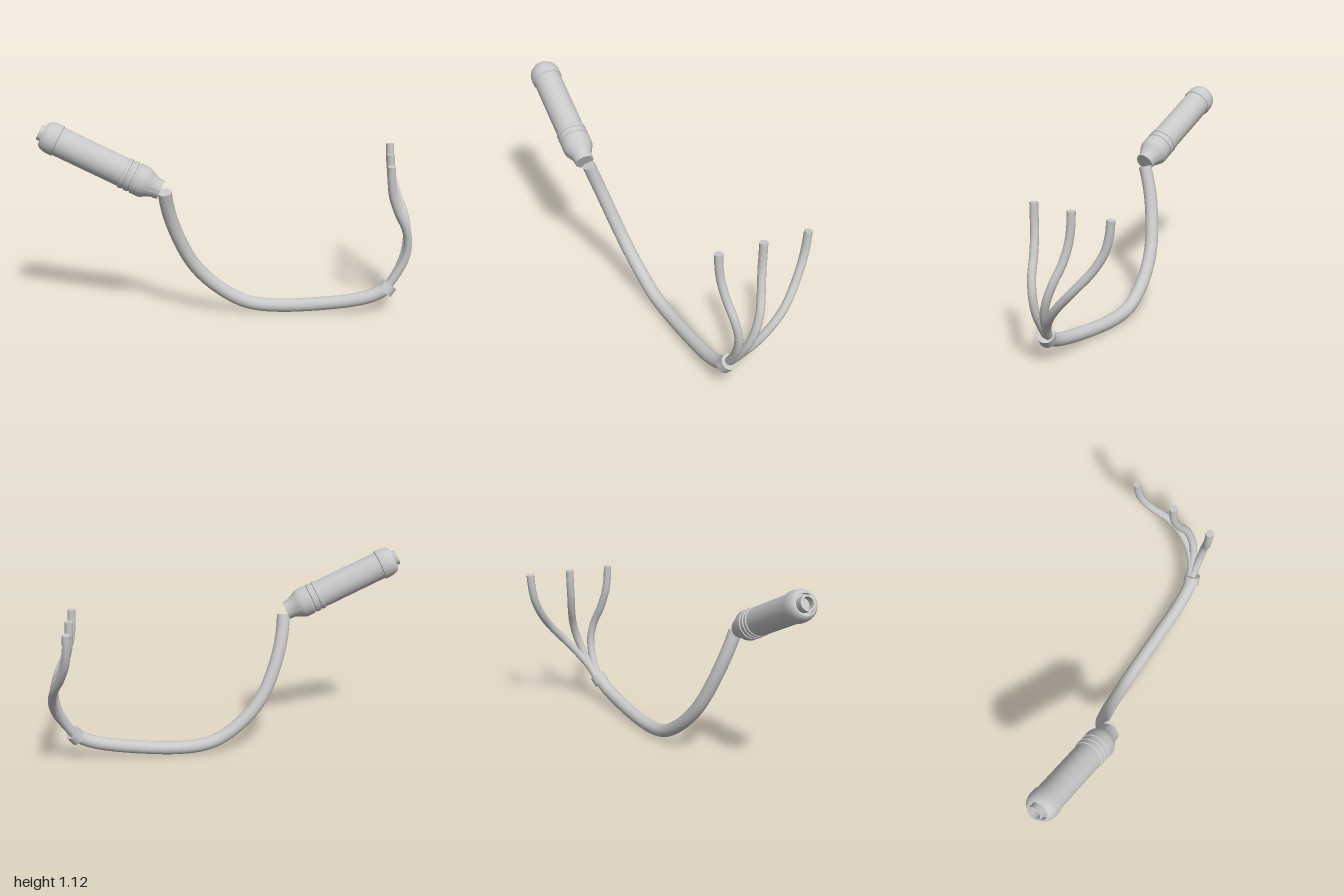
import * as THREE from 'three';
import { toCreasedNormals } from 'three/addons/utils/BufferGeometryUtils.js';

const grey = new THREE.MeshStandardMaterial({ color: 0xc8c8c8 });
grey.name = 'light grey';
const UP = new THREE.Vector3(0, 1, 0);
const FRONT = new THREE.Vector3(0, 0, 1);
const V = (p) => new THREE.Vector3(...p);

// Round cable through a list of points, closed with a disc at both ends
function cable(name, points, radius) {
  const group = new THREE.Group();
  group.name = name;
  const curve = new THREE.CatmullRomCurve3(points.map(V), false, 'centripetal');
  const tube = new THREE.Mesh(new THREE.TubeGeometry(curve, 96, radius, 24), grey);
  tube.name = name + 'Tube';
  group.add(tube);
  for (const t of [0, 1]) {
    const cap = new THREE.Mesh(new THREE.CircleGeometry(radius, 24), grey);
    cap.name = name + 'End';
    cap.position.copy(curve.getPointAt(t));
    cap.quaternion.setFromUnitVectors(FRONT, curve.getTangentAt(t).multiplyScalar(t ? 1 : -1));
    group.add(cap);
  }
  return group;
}

// Turned part whose profile of [radius, height] runs from point a towards point b
function turned(name, profile, a, b) {
  const lathe = new THREE.LatheGeometry(profile.map(([r, y]) => new THREE.Vector2(r, y)), 48);
  const mesh = new THREE.Mesh(toCreasedNormals(lathe, 0.5), grey);
  mesh.name = name;
  mesh.position.copy(V(a));
  mesh.quaternion.setFromUnitVectors(UP, V(b).sub(V(a)).normalize());
  return mesh;
}

export function createModel() {
  const model = new THREE.Group();
  model.name = 'cableWithPlug';

  // Plug: tapered rear, grip rings, long barrel, rounded cap and hollow tip
  const rear = [-0.34, 0.772, 0.328], tip = [-0.972, 1.074, 0.346];
  model.add(turned('plugBody', [
    [0, 0], [0.052, 0], [0.055, 0.035], [0.072, 0.07], [0.08, 0.085], [0.084, 0.1],
    [0.084, 0.145], [0.079, 0.148], [0.079, 0.158], [0.084, 0.161],
    [0.084, 0.18], [0.079, 0.183], [0.079, 0.193], [0.084, 0.196],
    [0.084, 0.212], [0.079, 0.216],
    [0.079, 0.59], [0.085, 0.594], [0.085, 0.62], [0.083, 0.64], [0.078, 0.658],
    [0.071, 0.671], [0.062, 0.678], [0.055, 0.678], [0.055, 0.655], [0, 0.655],
  ], rear, tip));
  model.add(turned('plugTip', [
    [0.042, 0.64], [0.042, 0.7], [0.032, 0.7], [0.032, 0.66], [0, 0.66],
  ], rear, tip));

  // Main cable from the plug down to the collar
  model.add(cable('mainCable', [
    [-0.322, 0.755, 0.31], [-0.317, 0.69, 0.288], [-0.3, 0.59, 0.254], [-0.256, 0.448, 0.21],
    [-0.2, 0.325, 0.173], [-0.13, 0.23, 0.145], [-0.03, 0.14, 0.117], [0.075, 0.078, 0.097],
    [0.17, 0.053, 0.083], [0.304, 0.046, 0.071], [0.49, 0.058, 0.06], [0.68, 0.083, 0.05],
    [0.78, 0.108, 0.04], [0.84, 0.137, 0.03], [0.868, 0.16, 0.021],
  ], 0.037));

  // Collar where the cable splits
  model.add(turned('collar', [
    [0, 0], [0.045, 0], [0.045, 0.055], [0, 0.055],
  ], [0.85, 0.13, 0.031], [0.885, 0.174, 0.015]));

  // Three wires share one side profile [x, y] and fan out in z
  const side = [[0.865, 0.15], [0.917, 0.23], [0.958, 0.315], [0.973, 0.405],
    [0.957, 0.5], [0.912, 0.6], [0.88, 0.7], [0.87, 0.78], [0.867, 0.865]];
  const fans = {
    frontWire: [0.02, 0.012, 0.01, 0.015, 0.033, 0.057, 0.075, 0.084, 0.087],
    middleWire: [0.015, -0.018, -0.045, -0.077, -0.108, -0.135, -0.15, -0.157, -0.16],
    backWire: [0.01, -0.025, -0.085, -0.163, -0.25, -0.328, -0.38, -0.4, -0.41],
  };
  for (const [name, zs] of Object.entries(fans)) {
    model.add(cable(name, side.map(([x, y], i) => [x, y, zs[i]]), 0.0225));
  }
  return model;
}
